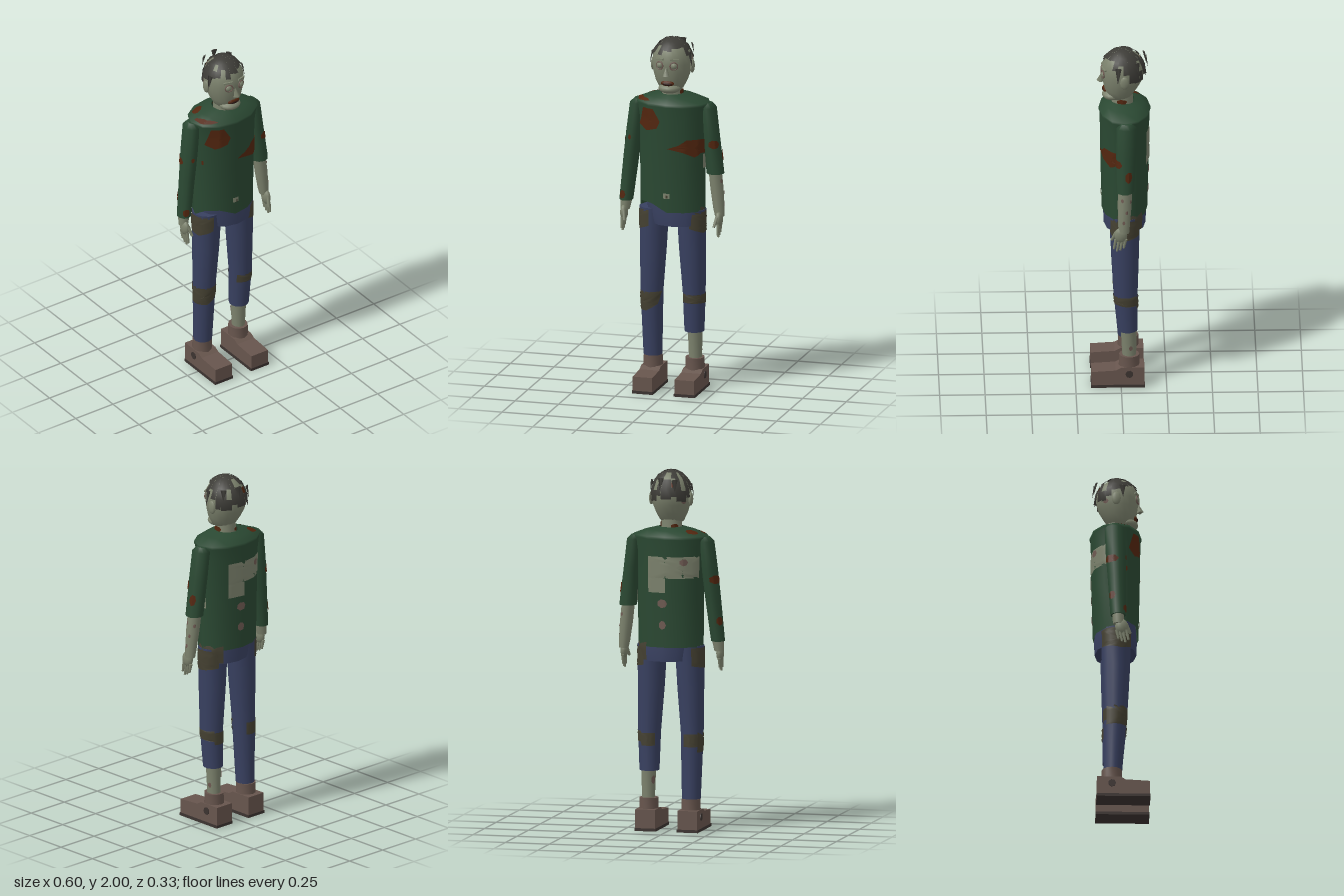
import * as THREE from 'three';

const mat = (name, color) => new THREE.MeshStandardMaterial({ name, color, side: THREE.DoubleSide });
const skin = mat('skin', 0x7c826d), shirt = mat('shirt', 0x2a4832), blood = mat('blood', 0x53260f);
const jeans = mat('jeans', 0x384060), grime = mat('grime', 0x444031), shoe = mat('shoe', 0x67554d);
const sole = mat('sole', 0x3c3330), hair = mat('hair', 0x3d3c37), wound = mat('wound', 0x6e5a52);
const mouthDark = mat('mouthDark', 0x2a1512);

function build(positions, index) {
  const g = new THREE.BufferGeometry();
  g.setAttribute('position', new THREE.Float32BufferAttribute(positions, 3));
  g.setIndex(index);
  g.computeVertexNormals();
  return g;
}

function add(parent, name, geometry, material, x = 0, y = 0, z = 0) {
  const m = new THREE.Mesh(geometry, material);
  m.name = name;
  m.position.set(x, y, z);
  parent.add(m);
  return m;
}

// Point on a faceted loft; angle 0 faces +z and grows towards +x
function surfacePoint(sections, sides, a, y, off = 0) {
  let i = 0;
  while (i < sections.length - 2 && y < sections[i + 1][0]) i++;
  const A = sections[i], B = sections[i + 1];
  const t = THREE.MathUtils.clamp((A[0] - y) / (A[0] - B[0]), 0, 1);
  const [, cx, cz, rx, rz] = A.map((v, k) => v + (B[k] - v) * t);
  const step = Math.PI * 2 / sides, k = Math.floor(a / step), f = a / step - k;
  const s = Math.sin(k * step) * (1 - f) + Math.sin((k + 1) * step) * f;
  const c = Math.cos(k * step) * (1 - f) + Math.cos((k + 1) * step) * f;
  return [cx + (rx + off) * s, y, cz + (rz + off) * c];
}

// Loft through elliptical sections [y, cx, cz, rx, rz], listed top to bottom
function loft(parent, name, material, sections, sides = 12, caps = true) {
  const p = [], idx = [], n = sides;
  const ring = ([y, cx, cz, rx, rz]) => {
    for (let j = 0; j < n; j++) {
      const a = j / n * Math.PI * 2;
      p.push(cx + rx * Math.sin(a), y, cz + rz * Math.cos(a));
    }
  };
  sections.forEach(ring);
  for (let i = 0; i < sections.length - 1; i++) for (let j = 0; j < n; j++) {
    const k = (j + 1) % n, u = i * n, d = u + n;
    idx.push(u + j, d + j, d + k, u + j, d + k, u + k);
  }
  if (caps) [sections[0], sections[sections.length - 1]].forEach((s, end) => {
    const b = p.length / 3;
    ring(s);
    p.push(s[1], s[0], s[2]);
    for (let j = 0; j < n; j++) {
      const k = (j + 1) % n;
      idx.push(b + n, b + (end ? k : j), b + (end ? j : k));
    }
  });
  const mesh = add(parent, name, build(p, idx), material);
  // Painted patch that follows the loft; outline points are [angle, y]
  mesh.userData.patch = (label, m, outline, off = 0.004) => {
    const q = [], id = [], pts = [], rings = 5, sub = 5;
    outline.forEach((o, i) => {
      const e = outline[(i + 1) % outline.length];
      for (let t = 0; t < sub; t++) pts.push([o[0] + (e[0] - o[0]) * t / sub, o[1] + (e[1] - o[1]) * t / sub]);
    });
    const c = [0, 1].map(k => pts.reduce((s, o) => s + o[k], 0) / pts.length), w = pts.length;
    for (let r = 0; r <= rings; r++) for (const o of pts) {
      const f = r / rings;
      q.push(...surfacePoint(sections, sides, c[0] + (o[0] - c[0]) * f, c[1] + (o[1] - c[1]) * f, off));
    }
    for (let r = 0; r < rings; r++) for (let j = 0; j < w; j++) {
      const k = (j + 1) % w, u = r * w, d = u + w;
      id.push(u + j, d + j, d + k, u + j, d + k, u + k);
    }
    // Outlines may run either way round, so orient the triangles outwards
    let area = 0;
    pts.forEach((o, i) => { const e = pts[(i + 1) % w]; area += o[0] * e[1] - e[0] * o[1]; });
    if (area < 0) id.reverse();
    return add(parent, label, build(q, id), m);
  };
  return mesh.userData;
}

const rect = (a0, a1, y0, y1) => [[a0, y0], [a1, y0], [a1, y1], [a0, y1]];
const spot = (a, y, ra, ry) => [...Array(7)].map((_, i) => {
  const t = i / 7 * Math.PI * 2;
  return [a + ra * Math.cos(t), y + ry * Math.sin(t)];
});

function buildTorso(g) {
  const body = [[1.64, 0, -0.022, 0.208, 0.139], [1.55, 0, -0.022, 0.193, 0.136],
    [1.3, 0, -0.022, 0.188, 0.132], [1.025, 0, -0.022, 0.185, 0.125]];
  const torso = loft(g, 'shirtBody', shirt, body, 12, false);
  // Torn hem on the front
  const pos = g.getObjectByName('shirtBody').geometry.attributes.position;
  for (let i = 0; i < pos.count; i++) {
    if (pos.getY(i) < 1.03 && pos.getZ(i) > 0.02 && pos.getX(i) < -0.02 && pos.getX(i) > -0.17) pos.setY(i, 1.07);
  }
  const yoke = loft(g, 'shoulderYoke', shirt, [[1.685, 0, -0.015, 0.065, 0.07], [1.668, 0, -0.02, 0.14, 0.105],
    [1.64, 0, -0.022, 0.212, 0.143], [1.625, 0, -0.022, 0.209, 0.142]], 12, false);
  torso.patch('chestStain', blood, [[-1.05, 1.51], [-0.7, 1.48], [-0.3, 1.5], [-0.2, 1.54], [-0.4, 1.61], [-0.8, 1.61]]);
  torso.patch('sideStain', blood, [[0.03, 1.39], [0.5, 1.37], [0.9, 1.34], [1.2, 1.36], [1.6, 1.35], [1.6, 1.43], [1.1, 1.44], [0.6, 1.44], [0.35, 1.41]]);
  torso.patch('smallStain', blood, spot(-1.15, 1.385, 0.06, 0.015));
  torso.patch('backTear', skin, rect(2.6, 4.3, 1.41, 1.53));
  torso.patch('backTearLower', skin, rect(2.6, 3.15, 1.33, 1.412));
  torso.patch('backWound', wound, spot(3.7, 1.5, 0.14, 0.02), 0.008);
  torso.patch('backBruise', wound, spot(3.05, 1.27, 0.16, 0.025));
  torso.patch('backBruiseLow', wound, spot(3.05, 1.15, 0.12, 0.025));
  torso.patch('sideTear', skin, rect(1.35, 1.75, 1.27, 1.35));
  torso.patch('frontTear', skin, rect(-0.1, 0.1, 1.105, 1.135));
  torso.patch('frontTearMark', grime, rect(-0.01, 0.04, 1.108, 1.125), 0.008);
  yoke.patch('rearShoulderStain', blood, spot(-2.1, 1.662, 0.28, 0.011));
  yoke.patch('frontShoulderStain', blood, spot(-1.1, 1.652, 0.5, 0.007));
  // Hips
  const pelvis = loft(g, 'pelvis', jeans, [[1.12, 0.01, -0.022, 0.16, 0.11], [1.02, 0.02, -0.022, 0.165, 0.118],
    [0.945, 0.025, -0.022, 0.15, 0.115]], 12);
  pelvis.patch('pelvisGrime', grime, rect(1.2, 2.5, 0.95, 1.06));
  const neck = loft(g, 'neck', skin, [[1.77, 0, -0.01, 0.055, 0.055], [1.66, 0, -0.01, 0.06, 0.06]], 12);
  neck.patch('neckStain', blood, spot(1.5, 1.695, 0.5, 0.016));
  neck.patch('napeStain', blood, spot(-2.6, 1.69, 0.4, 0.012));
}

function buildArm(g, s) {
  const full = s < 0;
  const path = y => [s * (0.205 + (1.6 - y) * 0.11), -0.03 + (1.6 - y) * 0.03];
  const sec = (y, rx, rz) => [y, ...path(y), rx, rz];
  const rows = [sec(1.635, 0.02, 0.03), sec(1.61, 0.042, 0.056), sec(1.45, 0.044, 0.056)];
  rows.push(...(full ? [sec(1.3, 0.043, 0.05), sec(1.055, 0.038, 0.043)] : [sec(1.24, 0.049, 0.05)]));
  const sleeve = loft(g, 'sleeve', shirt, rows, 10);
  const forearm = loft(g, 'forearm', skin, [sec(1.27, 0.036, 0.04), sec(1.15, 0.036, 0.038), sec(1.04, 0.031, 0.032), sec(1.0, 0.026, 0.03)], 10);
  if (full) {
    sleeve.patch('cuffStain', blood, spot(-0.4, 1.09, 0.5, 0.025));
    sleeve.patch('elbowStain', blood, spot(-2.2, 1.4, 0.9, 0.025));
    sleeve.patch('lowerStain', blood, spot(-2.3, 1.17, 0.5, 0.025));
    sleeve.patch('frontStain', blood, spot(-0.2, 1.42, 0.2, 0.015));
  } else {
    sleeve.patch('frontStain', blood, spot(0.5, 1.41, 0.7, 0.025));
    sleeve.patch('sideStain', blood, spot(1.9, 1.34, 0.4, 0.033));
    [[1.2, 1.2], [1.9, 1.13], [2.5, 1.19], [1.5, 1.07]].forEach(([a, y]) => forearm.patch('armSore', wound, spot(a, y, 0.22, 0.012), 0.003));
  }
  // Hand with four fingers spread front to back
  const hand = new THREE.Group();
  hand.name = 'hand';
  g.add(hand);
  add(hand, 'palm', new THREE.SphereGeometry(1, 12, 8), skin, s * 0.272, 0.985, 0.005).scale.set(0.021, 0.045, 0.036);
  [0.06, 0.075, 0.068, 0.055].forEach((len, i) => {
    const f = add(hand, 'finger', new THREE.CylinderGeometry(0.010, 0.006, len, 6), skin, s * 0.274, 0.962 - len / 2, 0.037 - i * 0.018);
    f.rotation.x = -0.2;
  });
  const thumb = add(hand, 'thumb', new THREE.CylinderGeometry(0.011, 0.007, 0.06, 6), skin, s * 0.262, 0.975, 0.042);
  thumb.rotation.set(-0.45, 0, -s * 0.2);
}

function buildLeg(g, s) {
  const full = s < 0;
  const rows = [[1.03, s * 0.106, -0.022, 0.082, 0.082], [0.8, s * 0.112, -0.022, 0.074, 0.077],
    [0.55, s * 0.121, -0.025, 0.063, 0.066]];
  rows.push(full ? [0.18, -0.12, -0.04, 0.052, 0.052] : [0.33, 0.119, -0.036, 0.055, 0.056]);
  const leg = loft(g, 'trouserLeg', jeans, rows, 14);
  leg.patch('hipGrime', grime, [[s * 0.1, 0.93], [s * 1.2, 0.9], [s * 2.8, 0.92], [s * 2.8, 1.02], [s * 0.1, 1.02]]);
  leg.patch('kneeGrime', grime, full ? [[-2.4, 0.44], [-0.3, 0.44], [0.8, 0.48], [1.3, 0.55], [-2.4, 0.55]]
    : [[-0.9, 0.5], [0.8, 0.5], [2.6, 0.49], [2.6, 0.55], [-0.9, 0.55]]);
  leg.patch('backKneeGrime', grime, rect(2.6, 3.9, 0.47, 0.54));
  if (!full) {
    const shin = loft(g, 'bareShin', skin, [[0.36, 0.122, -0.042, 0.043, 0.045], [0.17, 0.122, -0.045, 0.036, 0.038]], 12);
    shin.patch('shinSore', wound, spot(-2.2, 0.28, 0.3, 0.025));
    shin.patch('calfSore', wound, spot(1.8, 0.23, 0.25, 0.015));
  }
  // Shoe: side profile extruded across the foot
  const x = s * 0.12;
  const profile = new THREE.Shape([[-0.128, 0.015], [0.163, 0.015], [0.163, 0.095], [0.03, 0.103], [0, 0.12], [-0.128, 0.12]]
    .map(p => new THREE.Vector2(...p)));
  const upper = new THREE.ExtrudeGeometry(profile, { depth: 0.112, bevelEnabled: false });
  upper.rotateY(-Math.PI / 2).translate(0.056, 0, 0);
  add(g, 'shoeUpper', upper, shoe, x);
  add(g, 'shoeSole', new THREE.BoxGeometry(0.12, 0.016, 0.296), sole, x, 0.008, 0.018);
  loft(g, 'shoeCollar', shoe, [[0.18, x, -0.045, 0.053, 0.056], [0.1, x, -0.045, 0.055, 0.058]], 12);
  const scuff = add(g, 'shoeScuff', new THREE.CylinderGeometry(0.022, 0.022, 0.006, 7), sole, s * 0.177, 0.08, -0.045);
  scuff.rotation.z = Math.PI / 2;
}

function buildHead(g) {
  const head = loft(g, 'skull', skin, [[1.99, 0, -0.012, 0.02, 0.02], [1.98, 0, -0.012, 0.048, 0.052], [1.95, 0, -0.012, 0.083, 0.09],
    [1.91, 0, -0.012, 0.104, 0.112], [1.86, 0, -0.012, 0.11, 0.118], [1.81, 0, -0.01, 0.104, 0.108],
    [1.76, 0, 0, 0.088, 0.09], [1.72, 0, 0.004, 0.068, 0.066], [1.695, 0, 0.005, 0.04, 0.04]], 20);
  add(g, 'jaw', new THREE.SphereGeometry(1, 16, 10), skin, 0, 1.722, 0.045).scale.set(0.062, 0.03, 0.058);
  add(g, 'lips', new THREE.SphereGeometry(1, 12, 8), blood, 0, 1.757, 0.085).scale.set(0.038, 0.016, 0.014);
  add(g, 'mouth', new THREE.SphereGeometry(1, 12, 8), mouthDark, 0, 1.754, 0.09).scale.set(0.03, 0.009, 0.012);
  // Nose: a four-sided wedge
  const nose = new THREE.ConeGeometry(0.02, 0.065, 4);
  add(g, 'nose', nose, skin, 0, 1.832, 0.105).rotation.x = -0.25;
  for (const s of [-1, 1]) {
    add(g, 'eye', new THREE.SphereGeometry(0.02, 12, 8), skin, s * 0.04, 1.86, 0.09);
    add(g, 'eyeRim', new THREE.TorusGeometry(0.021, 0.004, 6, 14), wound, s * 0.04, 1.86, 0.099).rotation.y = s * 0.35;
    const brow = add(g, 'brow', new THREE.BoxGeometry(0.05, 0.009, 0.016), skin, s * 0.042, 1.893, 0.091);
    brow.rotation.set(0, s * 0.35, -s * 0.1);
    add(g, 'ear', new THREE.SphereGeometry(1, 10, 8), skin, s * 0.112, 1.838, -0.02).scale.set(0.012, 0.038, 0.026);
  }
  head.patch('scalpWound', blood, spot(-2.7, 1.925, 0.25, 0.018));
  head.patch('templeSore', wound, spot(2.1, 1.88, 0.2, 0.018));
  head.patch('headSore', wound, spot(-2.2, 1.83, 0.16, 0.014));

  // Ragged hair shell: columns end at different elevations (degrees), with bald cells
  const low = [32, 40, 22, 24, 18, 10, 8, -16, -18, -16, -2, -10, -10, -4, -16, -18, -8, 8, 10, 20, 24, 30, 22, 34];
  const bald = ['2,3', '3,3', '21,3', '19,2', '15,1', '15,2', '11,1', '12,1', '13,2', '9,2', '5,3'];
  const p = [], n = [], idx = [], rows = 4;
  const put = (col, elev, flare) => {
    const a = col / 24 * Math.PI * 2, e = elev * Math.PI / 180;
    const d = [Math.cos(e) * Math.sin(a), Math.sin(e), Math.cos(e) * Math.cos(a)];
    p.push(d[0] * 0.114 * flare, 1.87 + d[1] * 0.13, -0.014 + d[2] * 0.124 * flare);
    n.push(...d);
  };
  low.forEach((end, c) => {
    for (let r = 0; r < rows; r++) {
      if (bald.includes(c + ',' + r)) continue;
      const b = p.length / 3, e0 = 90 + (end - 90) * r / rows, e1 = 90 + (end - 90) * (r + 1) / rows;
      const f1 = r === rows - 1 ? 1.05 : 1;
      put(c, e0, 1); put(c, e1, f1); put(c + 1, e1, f1); put(c + 1, e0, 1);
      idx.push(b, b + 1, b + 2, b, b + 2, b + 3);
    }
  });
  const shell = build(p, idx);
  shell.setAttribute('normal', new THREE.Float32BufferAttribute(n, 3));
  add(g, 'hair', shell, hair);
  // Loose locks standing away from the scalp
  for (const [a, y, len] of [[1.35, 1.88, 0.09], [-1.35, 1.88, 0.08], [2.9, 1.93, 0.07], [-2.7, 1.92, 0.07], [2.2, 1.92, 0.06]]) {
    const lock = new THREE.ConeGeometry(0.018, len, 4).scale(1, 1, 0.25).rotateX(Math.PI - 0.2);
    add(g, 'hairLock', lock, hair, 0.117 * Math.sin(a), y, -0.014 + 0.134 * Math.cos(a)).rotation.y = a;
  }
}

export function createModel() {
  const model = new THREE.Group();
  model.name = 'raggedFigure';
  const part = (name, fn, ...args) => {
    const g = new THREE.Group();
    g.name = name;
    fn(g, ...args);
    model.add(g);
  };
  part('torso', buildTorso);
  part('head', buildHead);
  part('leftArm', buildArm, 1);
  part('rightArm', buildArm, -1);
  part('leftLeg', buildLeg, 1);
  part('rightLeg', buildLeg, -1);
  return model;
}
